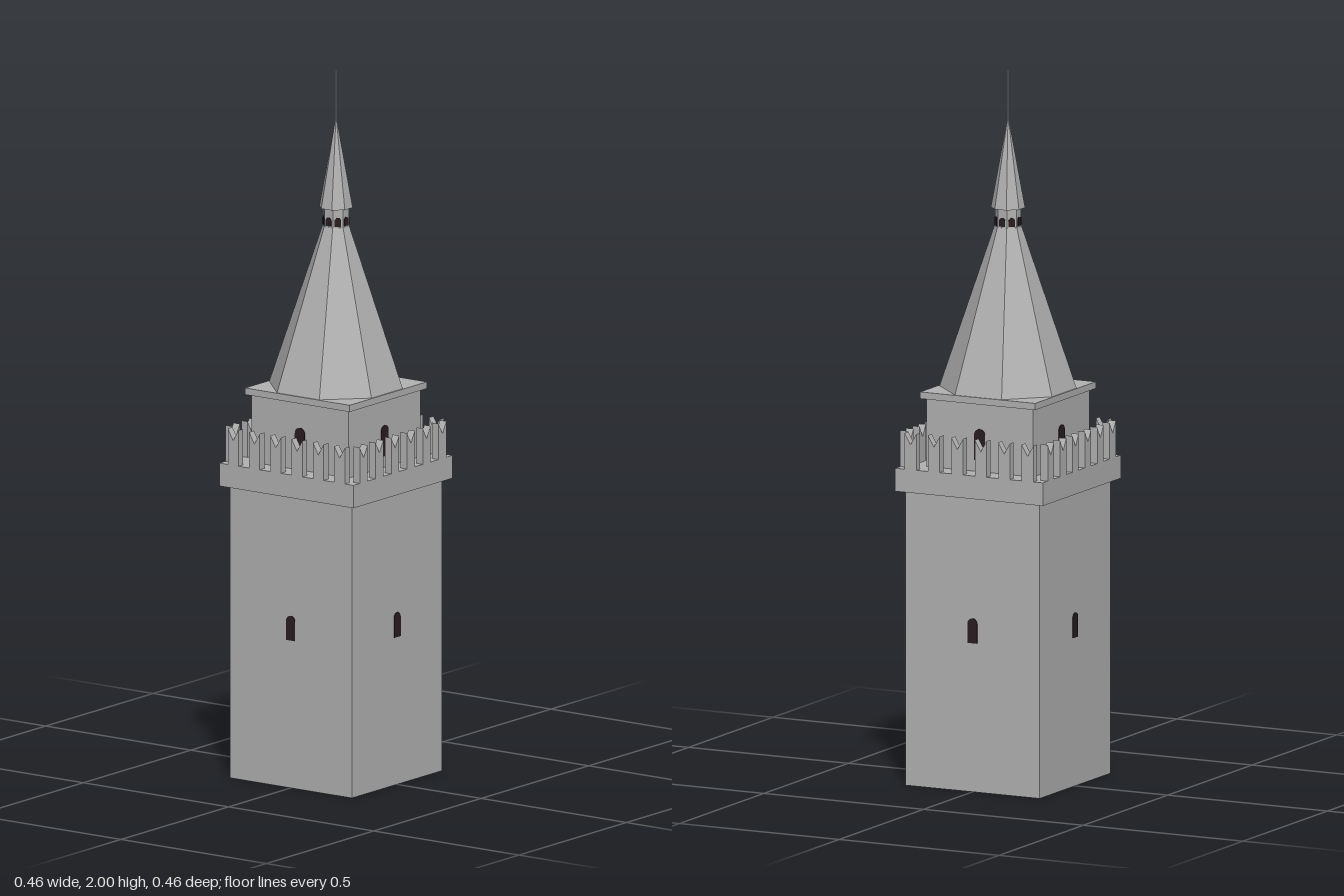
import * as THREE from 'three';

export function createModel() {
  const model = new THREE.Group();
  model.name = 'tower';
  const stone = new THREE.MeshStandardMaterial({ color: 0xb2b2b2, flatShading: true, side: THREE.DoubleSide });
  stone.name = 'stone grey';
  const dark = new THREE.MeshStandardMaterial({ color: 0x2a1c20, flatShading: true });
  dark.name = 'window dark';

  const add = (name, geometry, material = stone, parent = model) => {
    const mesh = new THREE.Mesh(geometry, material);
    mesh.name = name;
    parent.add(mesh);
    return mesh;
  };
  // Square block given half width and bottom/top heights
  const block = (name, half, y0, y1) =>
    add(name, new THREE.BoxGeometry(half * 2, y1 - y0, half * 2)).position.y = (y0 + y1) / 2;
  // Octagonal frustum with flats facing the axes, sized by apothem
  const octagon = (name, a0, a1, y0, y1) => {
    const k = 1 / Math.cos(Math.PI / 8);
    add(name, new THREE.CylinderGeometry(a1 * k, a0 * k, y1 - y0, 8, 1, false, Math.PI / 8))
      .position.y = (y0 + y1) / 2;
  };
  // Thin arched plate standing on y = 0
  const archPlate = (w, h, depth) => {
    const s = new THREE.Shape();
    s.moveTo(-w / 2, 0);
    s.lineTo(w / 2, 0);
    s.lineTo(w / 2, h - w / 2);
    s.absarc(0, h - w / 2, w / 2, 0, Math.PI, false);
    s.closePath();
    return new THREE.ExtrudeGeometry(s, { depth, bevelEnabled: false, curveSegments: 6 });
  };

  // Shaft: four walls, open at the bottom
  const shaft = new THREE.CylinderGeometry(0.21 * Math.SQRT2, 0.21 * Math.SQRT2, 0.83, 4, 1, true, Math.PI / 4);
  add('shaft', shaft).position.y = 0.415;

  block('parapet', 0.231, 0.83, 0.895);
  block('belfry', 0.167, 0.895, 1.087);
  block('eaves', 0.18, 1.087, 1.106);

  // Spire, lantern and finial
  octagon('spire', 0.176, 0.035, 1.106, 1.56);
  octagon('lantern', 0.034, 0.034, 1.56, 1.612);
  octagon('lanternRoof', 0.044, 0.0005, 1.612, 1.87);
  add('finial', new THREE.CylinderGeometry(0.003, 0.003, 0.14, 6)).position.y = 1.93;

  // Swallow-tailed merlon
  const m = new THREE.Shape();
  m.moveTo(-0.0183, 0);
  m.lineTo(0.0183, 0);
  m.lineTo(0.0183, 0.102);
  m.lineTo(0, 0.07);
  m.lineTo(-0.0183, 0.102);
  m.closePath();
  const merlon = new THREE.ExtrudeGeometry(m, { depth: 0.022, bevelEnabled: false });
  const lowWindow = archPlate(0.03, 0.07, 0.006);
  const highWindow = archPlate(0.034, 0.088, 0.006);

  // Merlons and windows on each of the four sides
  for (let side = 0; side < 4; side++) {
    const face = new THREE.Group();
    face.name = 'side' + (side + 1);
    face.rotation.y = side * Math.PI / 2;
    model.add(face);
    for (let i = 0; i < 6; i++) {
      add('merlon', merlon, stone, face).position.set((i - 2.5) * 0.0733, 0.895, 0.209);
    }
    add('shaftWindow', lowWindow, dark, face).position.set(0, 0.419, 0.206);
    add('belfryWindow', highWindow, dark, face).position.set(0, 0.927, 0.163);
  }

  // Lantern openings, one on each flat
  const slot = archPlate(0.018, 0.025, 0.004);
  for (let i = 0; i < 8; i++) {
    const a = i * Math.PI / 4;
    const w = add('lanternWindow', slot, dark);
    w.position.set(Math.sin(a) * 0.032, 1.563, Math.cos(a) * 0.032);
    w.rotation.y = a;
  }
  return model;
}
